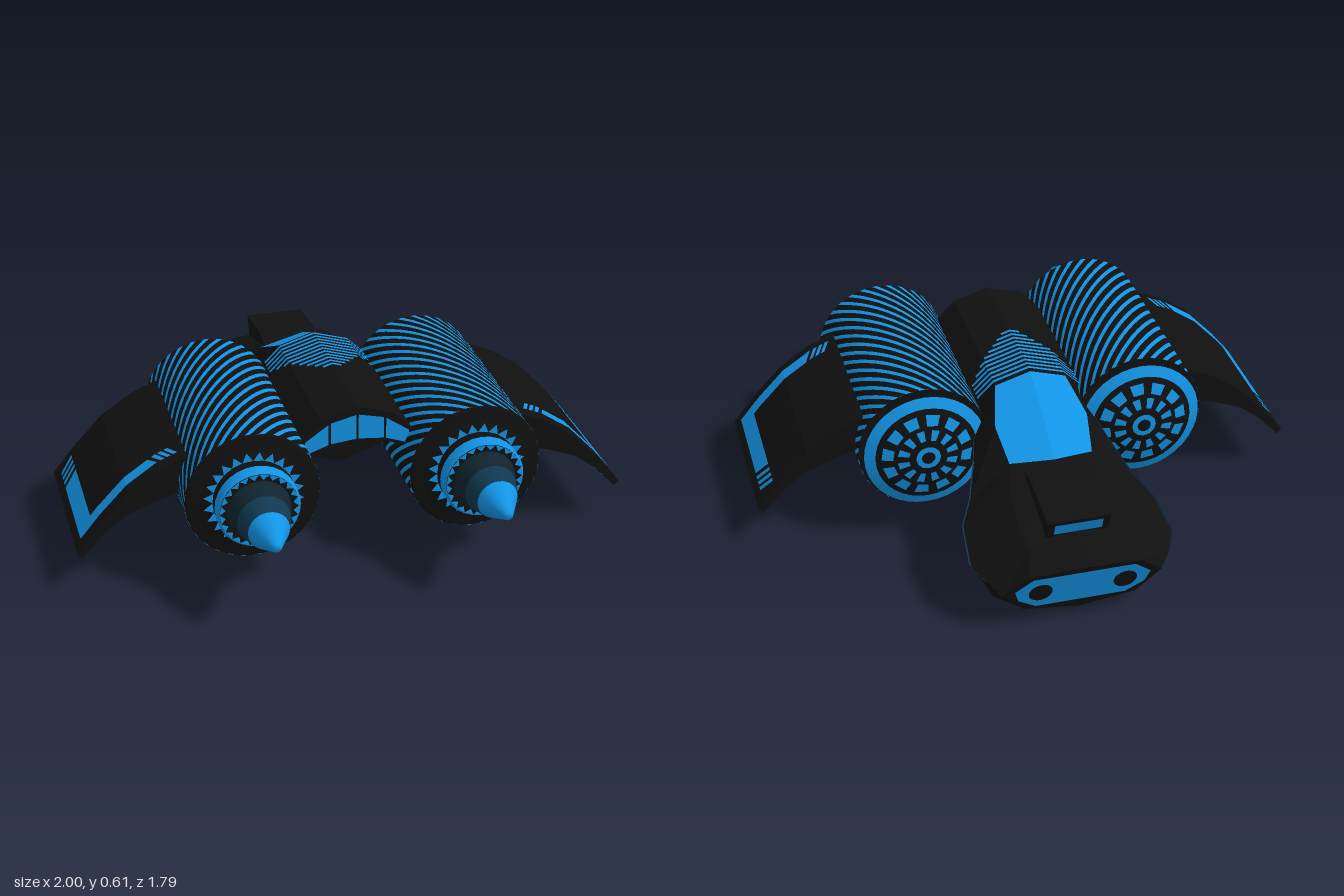
import * as THREE from 'three';

const mat = (name, color) => {
  const m = new THREE.MeshStandardMaterial({ color, side: THREE.DoubleSide });
  m.name = name;
  return m;
};

export function createModel() {
  const black = mat('hull black', 0x101010);
  const blue = mat('bright blue', 0x1294e6);
  const deep = mat('deep blue', 0x10384f);
  const dusk = mat('dark slate', 0x0f232e);

  const model = new THREE.Group();
  const add = (parent, name, geo, material) => {
    const m = new THREE.Mesh(geo, material);
    m.name = name;
    parent.add(m);
    return m;
  };

  // Flat faceted surface from a list of convex polygons
  const faces = (polys) => {
    const pos = [];
    for (const p of polys)
      for (let i = 1; i < p.length - 1; i++) pos.push(...p[0], ...p[i], ...p[i + 1]);
    const g = new THREE.BufferGeometry();
    g.setAttribute('position', new THREE.Float32BufferAttribute(pos, 3));
    g.computeVertexNormals();
    return g;
  };
  const extrude = (pts, depth) => new THREE.ExtrudeGeometry(
    new THREE.Shape(pts.map(p => new THREE.Vector2(...p))), { depth, bevelEnabled: false });
  // Turned part around the z axis, profile given as [radius, z]
  const turned = (pts, sides = 28) => new THREE.LatheGeometry(
    pts.map(p => new THREE.Vector2(...p)), sides).rotateX(Math.PI / 2);
  // Height of a polyline at x
  const along = (line, x) => {
    let i = 0;
    while (i < line.length - 2 && x > line[i + 1][0]) i++;
    const [a, b] = [line[i], line[i + 1]];
    return a[1] + (b[1] - a[1]) * (x - a[0]) / (b[0] - a[0]);
  };

  // ---- Hull: half cross-sections from tail to nose, roof centre round to keel
  const sections = [
    [[0, .425, .2], [.1, .415, .2], [.18, .385, .2], [.18, .33, .2], [0, .27, .2]],
    [[0, .61, -.02], [.13, .57, -.02], [.21, .49, -.02], [.2, .34, -.02], [0, .28, -.02]],
    [[0, .61, -.19], [.13, .57, -.19], [.2, .46, -.19], [.2, .34, -.19], [0, .285, -.2]],
    [[0, .54, -.34], [.168, .495, -.34], [.245, .38, -.34], [.23, .26, -.34], [0, .2, -.34]],
    [[0, .435, -.5], [.15, .42, -.465], [.295, .31, -.48], [.245, .15, -.48], [0, .1, -.49]],
    [[0, .4, -.62], [.18, .37, -.6], [.345, .27, -.58], [.29, .075, -.6], [0, .01, -.62]],
    [[0, .36, -.74], [.19, .34, -.74], [.36, .23, -.74], [.28, .07, -.74], [0, .025, -.74]],
    [[0, .33, -.82], [.17, .31, -.82], [.325, .21, -.82], [.22, .07, -.8], [0, .035, -.82]],
    [[0, .26, -.898], [.2, .25, -.895], [.28, .18, -.873], [.2, .08, -.843], [0, .045, -.832]],
  ];
  const flip = ([x, y, z]) => [-x, y, z];
  const rings = sections.map(s => [...s, ...s.slice(1, 4).reverse().map(flip)]);
  const isBlue = (row, col) => [0, 2, 3].includes(row) && [0, 7].includes(col);
  const hullFaces = (want) => {
    const out = [];
    for (let i = 0; i < rings.length - 1; i++)
      for (let j = 0; j < 8; j++)
        if (isBlue(i, j) === want) {
          const k = (j + 1) % 8;
          out.push([rings[i][j], rings[i][k], rings[i + 1][k], rings[i + 1][j]]);
        }
    if (!want) out.push([...rings[0]].reverse(), rings[rings.length - 1]);
    return faces(out);
  };
  add(model, 'hull', hullFaces(false), black);
  add(model, 'canopy and tail glow', hullFaces(true), blue);

  // Point on the hull side by section row and corner column
  const hullPoint = (r, c, dx, dy) => {
    const i = Math.min(Math.floor(r), 7), j = Math.min(Math.floor(c), 3);
    const u = r - i, v = c - j;
    const p = [0, 1, 2].map(k =>
      (sections[i][j][k] * (1 - v) + sections[i][j + 1][k] * v) * (1 - u) +
      (sections[i + 1][j][k] * (1 - v) + sections[i + 1][j + 1][k] * v) * u);
    return [p[0] + dx, p[1] + dy, p[2]];
  };
  const patch = (r0, r1, c0, c1, dx, dy) => {
    const q = [[r0, c0], [r0, c1], [r1, c1], [r1, c0]].map(([r, c]) => hullPoint(r, c, dx, dy));
    return [q, q.map(flip).reverse()];
  };
  const belly = [...patch(4.2, 4.85, 3.12, 4, 0, -.007)];
  for (let i = 0; i < 5; i++) belly.push(...patch(3.2 + i * .14, 3.26 + i * .14, 3.06, 4, 0, -.007));
  add(model, 'belly markings', faces(belly), blue);
  const trim = [];
  for (let r = 2; r < 8; r++) trim.push(...patch(r, r + 1, 2, 2.13, .005, 0));
  add(model, 'side trim line', faces(trim), deep);

  // ---- Roof shell over the tail
  const roofHalf = [[0, .61], [.13, .57], [.21, .49], [.21, .42], [.1, .465], [0, .475]];
  const roofPts = [...roofHalf, ...roofHalf.slice(1, 5).reverse().map(([x, y]) => [-x, y])];
  add(model, 'tail roof', extrude(roofPts, .48), black).position.z = -.05;

  const windows = [];
  const winTop = [[0, .582], [.1, .558], [.19, .495]], winLow = [[0, .487], [.1, .477], [.19, .445]];
  for (const [a, b] of [[.004, .096], [.104, .188]]) {
    const q = [[a, along(winLow, a), .434], [b, along(winLow, b), .434],
      [b, along(winTop, b), .434], [a, along(winTop, a), .434]];
    windows.push(q, q.map(flip).reverse());
  }
  add(model, 'tail windows', faces(windows), blue);

  // Tapering roof stripes behind the canopy
  const stripes = [];
  for (let i = 0; i < 11; i++) {
    const z = -.175 + i * .026, w = .19 * Math.min(1, (.125 - z) / .22);
    const xs = w > .13 ? [0, .13, w] : [0, w];
    for (let k = 0; k < xs.length - 1; k++) {
      const at = (x, zz) => [x, along(roofHalf.slice(0, 3), x) + .005, zz];
      const q = [at(xs[k], z), at(xs[k], z + .013), at(xs[k + 1], z + .013), at(xs[k + 1], z)];
      stripes.push(q, q.map(flip).reverse());
    }
  }
  add(model, 'roof stripes', faces(stripes), blue);

  // ---- Nose scoop and face plate
  const scoop = extrude([[.51, .415], [.6, .34], [.79, .325], [.82, .405], [.6, .43]], .22)
    .rotateY(Math.PI / 2).translate(-.11, 0, 0);
  add(model, 'nose scoop', scoop, black);
  add(model, 'scoop intake', faces([[[-.085, .393, -.82], [.085, .393, -.82],
    [.085, .345, -.802], [-.085, .345, -.802]]]), blue);
  const onNose = (x, y, off) => [x, y, -.832 - (y - .045) * .3 - off];
  add(model, 'nose plate', faces([[[-.18, .237], [.18, .237], [.24, .185], [.225, .135], [.16, .09],
    [-.16, .09], [-.225, .135], [-.24, .185]].map(([x, y]) => onNose(x, y, .004))]), blue);
  const lamps = [-.15, .15].map(cx => Array.from({ length: 18 }, (_, i) => {
    const a = -i * Math.PI / 9;
    return onNose(cx + .042 * Math.cos(a), .167 + .042 * Math.sin(a), .008);
  }));
  add(model, 'nose lamps', faces(lamps), black);

  // ---- Wing and engine, built once per side
  const wingTop = [[.58, .51], [.7, .46], [.81, .385], [.91, .28], [1, .17]];
  const wingLow = [[.58, .375], [.7, .345], [.82, .3], [.9, .24], [.985, .15]];
  const wingMarks = (line, off, edge) => {
    const out = [];
    const quad = (...pts) => out.push(pts.map(([x, z]) => [x, along(line, x) + off, z]));
    quad([edge - .045, .385], [edge, .385], [edge, .02], [edge - .045, -.01]);
    const breaks = [.725, ...line.map(p => p[0]).filter(x => x > .73 && x < edge - .045), edge - .045];
    for (let i = 0; i < breaks.length - 1; i++) {
      const [a, b] = [breaks[i], breaks[i + 1]];
      quad([a - (i ? 0 : .025), .385], [b, .385], [b, .33], [a, .33]);
    }
    for (let i = 0; i < 3; i++) {
      const z = -.005 - i * .035, x = .685 - i * .022;
      quad([edge - .045, z - .025], [edge, z + .005], [edge, z - .015], [edge - .045, z - .045]);
      quad([x - .012, .385], [x + .002, .385], [x + .027, .33], [x + .013, .33]);
    }
    return out;
  };

  const R = .238, Z0 = -.22, Z1 = .54;
  const ribbons = (from, to, count = 30, steps = 18) => {
    const out = [];
    const at = (a, t) => {
      const ang = a + 3.4 * (1 - t) * (Z1 - Z0);
      return [R * Math.cos(ang), R * Math.sin(ang), Z0 + t * (Z1 - Z0)];
    };
    for (let n = 0; n < count; n++) {
      const a = (n + from) / count * Math.PI * 2, b = (n + to) / count * Math.PI * 2;
      for (let s = 0; s < steps; s++) {
        const t = s / steps, u = (s + 1) / steps;
        out.push([at(a, t), at(b, t), at(b, u), at(a, u)]);
      }
    }
    return faces(out);
  };
  const domeZ = r => -.292 + .052 * (r / .225) ** 2;
  const polar = (r, a, z) => [r * Math.cos(a), r * Math.sin(a), z];
  // Ring of blocks lying on the fan dome
  const blocks = (r0, r1, count, fill, shift = 0) => Array.from({ length: count }, (_, i) => {
    const a = (i + shift) / count * Math.PI * 2, b = (i + shift + fill) / count * Math.PI * 2;
    const z0 = domeZ(r0) - .005, z1 = domeZ(r1) - .005;
    return [polar(r0, a, z0), polar(r0, b, z0), polar(r1, b, z1), polar(r1, a, z1)];
  });

  for (const side of [1, -1]) {
    const half = new THREE.Group();
    half.name = side > 0 ? 'leftSide' : 'rightSide';
    half.scale.x = side;
    model.add(half);

    const outline = [...wingTop, ...[...wingLow].reverse()];
    add(half, 'wing', extrude(outline, .59), black).position.z = -.16;
    add(half, 'wing markings', faces([...wingMarks(wingTop, .007, .98),
      ...wingMarks(wingLow, -.007, .965)]), blue);

    const engine = new THREE.Group();
    engine.name = 'engine';
    engine.position.set(.4, .377, 0);
    half.add(engine);
    add(engine, 'engine casing', ribbons(.4, 1), black);
    add(engine, 'casing spiral stripes', ribbons(0, .4), blue);
    add(engine, 'rear cap', turned([[R, .54], [.225, .55], [.145, .552], [.145, .595]]), black);
    add(engine, 'front cap', turned([[0, -.215], [R, Z0]]), black);
    // Fan dome with blue rings and blades
    add(engine, 'fan dome', turned([0, .06, .12, .17, .225].map(r => [r, domeZ(r)])), black);
    add(engine, 'fan blades', faces([...blocks(.185, .223, 36, 1), ...blocks(.125, .165, 12, .6),
      ...blocks(.07, .11, 12, .5, .3), ...blocks(.025, .045, 12, 1)]), blue);
    // Nozzle collar, teeth and banded cone
    add(engine, 'nozzle collar', turned([[.146, .595], [.146, .632], [.138, .64]]), blue);
    add(engine, 'collar face', turned([[.138, .64], [.112, .64]]), black);
    const teeth = [];
    for (let i = 0; i < 24; i++) {
      const a = i / 24 * Math.PI * 2, h = Math.PI / 24;
      teeth.push([polar(.145, a, .557), polar(.178, a + h, .557), polar(.145, a + 2 * h, .557)],
        [polar(.138, a, .643), polar(.138, a + 2 * h, .643), polar(.118, a + h, .643)]);
    }
    add(engine, 'collar teeth', faces(teeth), blue);
    add(engine, 'cone base band', turned([[.112, .64], [.093, .71]]), dusk);
    add(engine, 'cone middle band', turned([[.093, .71], [.072, .78]]), deep);
    add(engine, 'cone tip', turned([[.072, .78], [.016, .893], [0, .893]]), blue);
  }
  return model;
}
